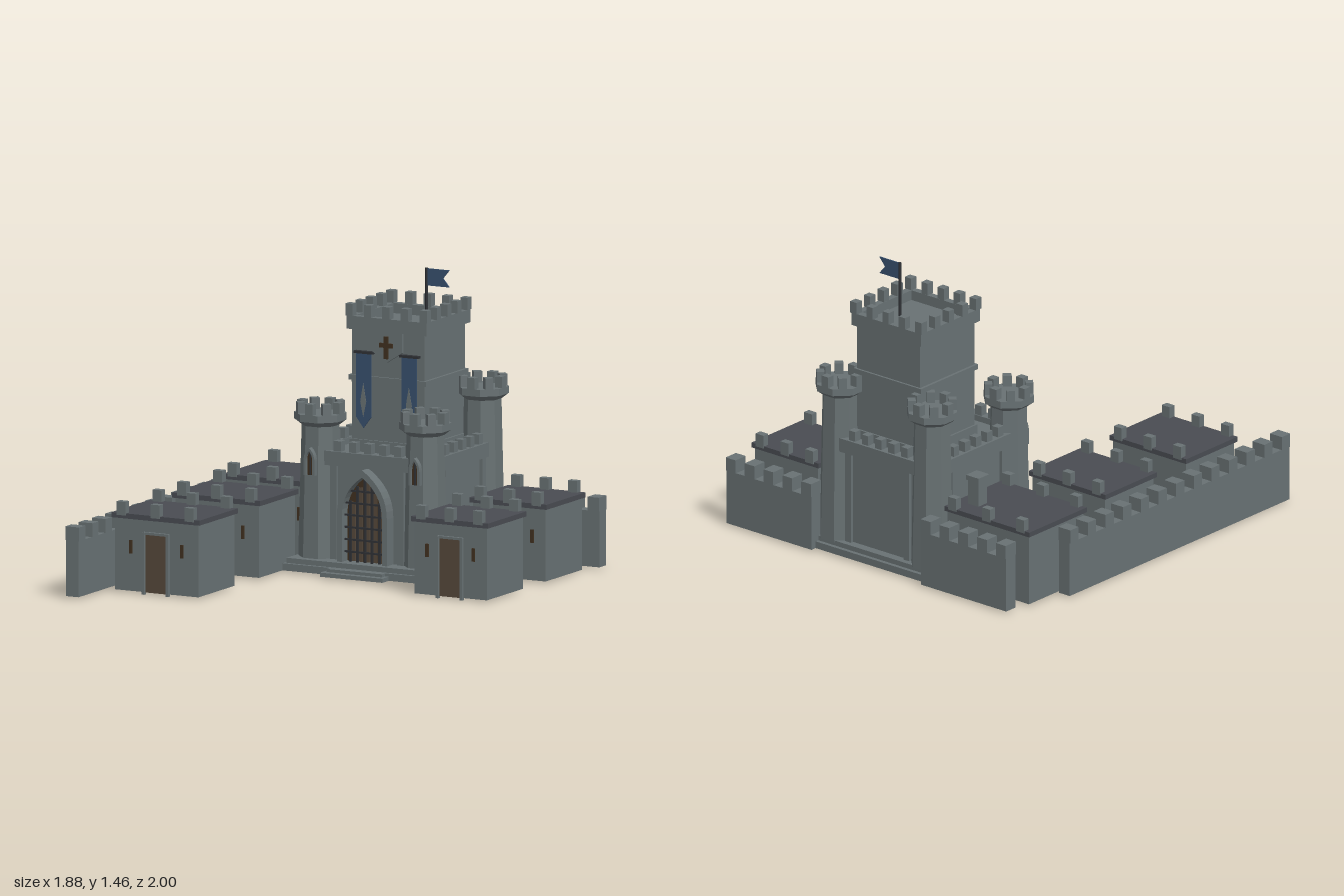
import * as THREE from 'three';

const mat = (name, color, extra = {}) => new THREE.MeshStandardMaterial({ name, color, flatShading: true, ...extra });

export function createModel() {
  const stone = mat('stone', 0x687173);
  const slate = mat('slate', 0x494c52);
  const wood = mat('wood', 0x55483a);
  const darkWood = mat('darkWood', 0x40301f);
  const iron = mat('iron', 0x2f3135);
  const cloth = mat('cloth', 0x38506e, { side: THREE.DoubleSide });

  const root = new THREE.Group();
  root.name = 'castle';
  const group = (name, x = 0, y = 0, z = 0, parent = root) => {
    const g = new THREE.Group();
    g.name = name;
    g.position.set(x, y, z);
    parent.add(g);
    return g;
  };
  const add = (parent, name, geo, material) => {
    const m = new THREE.Mesh(geo, material);
    m.name = name;
    parent.add(m);
    return m;
  };
  // Box given by its limits on each axis
  const box = (parent, name, x0, x1, y0, y1, z0, z1, material = stone) => {
    const m = add(parent, name, new THREE.BoxGeometry(x1 - x0, y1 - y0, z1 - z0), material);
    m.position.set((x0 + x1) / 2, (y0 + y1) / 2, (z0 + z1) / 2);
    return m;
  };
  const plate = (parent, name, shape, z, depth, material) => {
    const geo = new THREE.ExtrudeGeometry(shape, { depth, bevelEnabled: false, curveSegments: 8 });
    const m = add(parent, name, geo, material);
    m.position.z = z;
    return m;
  };
  const poly = (pts) => new THREE.Shape(pts.map(([x, y]) => new THREE.Vector2(x, y)));

  // Pointed arch outline; with an inner width it becomes an open-footed frame
  const arch = (w, base, spring, apex, inner) => {
    const s = new THREE.Shape();
    const lift = (a) => spring + (a - spring) * 0.62;
    s.moveTo(w, base);
    s.lineTo(w, spring);
    s.quadraticCurveTo(w, lift(apex), 0, apex);
    s.quadraticCurveTo(-w, lift(apex), -w, spring);
    s.lineTo(-w, base);
    if (inner) {
      const a = apex - (w - inner) * 1.3;
      s.lineTo(-inner, base);
      s.lineTo(-inner, spring);
      s.quadraticCurveTo(-inner, lift(a), 0, a);
      s.quadraticCurveTo(inner, lift(a), inner, spring);
      s.lineTo(inner, base);
    }
    return s;
  };

  // Plinth and entrance steps
  box(root, 'plinth', -0.372, 0.474, 0.01, 0.045, -0.965, -0.117);
  box(root, 'plinthTop', -0.35, 0.452, 0.045, 0.07, -0.945, -0.135);
  box(root, 'upperStep', -0.1, 0.205, 0.01, 0.045, -0.13, -0.085);
  box(root, 'lowerStep', -0.12, 0.225, 0.01, 0.03, -0.13, -0.053);

  // Gatehouse block with framed walls and a battlement on each side
  const gate = group('gatehouse', 0.05, 0, -0.565);
  box(gate, 'gatehouseWalls', -0.335, 0.335, 0.06, 0.57, -0.335, 0.335);
  for (let k = 0; k < 4; k++) {
    const side = group('wallSide', 0, 0, 0, gate);
    side.rotation.y = k * Math.PI / 2;
    for (const s of [-1, 1]) box(side, 'pilaster', s * 0.185 - 0.018, s * 0.185 + 0.018, 0.07, 0.54, 0.33, 0.352);
    box(side, 'parapet', -0.25, 0.25, 0.53, 0.6, 0.3, 0.357);
    for (let i = -2; i <= 2; i++) box(side, 'merlon', i * 0.083 - 0.02, i * 0.083 + 0.02, 0.6, 0.65, 0.305, 0.345);
  }

  // Arched entrance with plank door and portcullis
  const entry = group('entrance', 0.05, 0, 0);
  plate(entry, 'archFrame', arch(0.138, 0.07, 0.3, 0.53, 0.11), -0.232, 0.067, stone);
  plate(entry, 'archDoor', arch(0.118, 0.07, 0.3, 0.5), -0.229, 0.009, darkWood);
  for (let i = -2; i <= 2; i++) {
    const x = i * 0.04, top = 0.3 + 0.185 * (1 - Math.pow(Math.abs(x) / 0.11, 1.5));
    box(entry, 'plank', x - 0.016, x + 0.016, 0.07, top - 0.01, -0.222, -0.213, wood);
    box(entry, 'verticalBar', x - 0.005, x + 0.005, 0.07, top, -0.2, -0.19, iron);
  }
  for (let i = 0; i < 6; i++) {
    const w = i === 5 ? 0.085 : 0.112;
    box(entry, 'crossBar', -w, w, 0.115 + i * 0.06, 0.124 + i * 0.06, -0.198, -0.188, iron);
  }

  // Octagonal corner towers
  const octagon = (parent, name, rTop, rBottom, y0, y1) => {
    const k = 1 / Math.cos(Math.PI / 8);
    const geo = new THREE.CylinderGeometry(rTop * k, rBottom * k, y1 - y0, 8).rotateY(Math.PI / 8);
    add(parent, name, geo, stone).position.y = (y0 + y1) / 2;
  };
  for (const x of [-0.24, 0.34]) {
    for (const [z, top, front] of [[-0.275, 0.83, true], [-0.848, 0.92, false]]) {
      const t = group('cornerTower', x, 0, z);
      octagon(t, 'towerShaft', 0.084, 0.1, 0.06, top - 0.09);
      octagon(t, 'towerCorbel', 0.116, 0.086, top - 0.115, top - 0.09);
      octagon(t, 'towerRing', 0.118, 0.118, top - 0.09, top - 0.055);
      for (let i = 0; i < 8; i++) {
        const m = group('towerMerlon', 0, 0, 0, t);
        m.rotation.y = i * Math.PI / 4;
        box(m, 'merlon', -0.021, 0.021, top - 0.055, top, 0.08, 0.118);
      }
      if (front) {
        plate(t, 'windowFrame', arch(0.03, 0.48, 0.55, 0.615, 0.018), 0.08, 0.035, stone);
        plate(t, 'windowOpening', arch(0.02, 0.48, 0.55, 0.6), 0.091, 0.008, darkWood);
        box(t, 'windowBar', -0.004, 0.004, 0.48, 0.59, 0.096, 0.104, iron);
      }
    }
  }

  // Great tower with string course and battlemented crown
  const keep = group('greatTower', 0.053, 0, -0.625);
  box(keep, 'towerWalls', -0.2, 0.2, 0.55, 1.18, -0.203, 0.203);
  box(keep, 'towerFoot', -0.21, 0.21, 0.55, 0.63, -0.212, 0.212);
  box(keep, 'stringCourse', -0.214, 0.214, 0.92, 0.945, -0.214, 0.214);
  box(keep, 'crownFloor', -0.2, 0.2, 1.17, 1.185, -0.2, 0.2);
  for (let k = 0; k < 4; k++) {
    const side = group('crownSide', 0, 0, 0, keep);
    side.rotation.y = k * Math.PI / 2;
    box(side, 'crownWall', -0.22, 0.22, 1.17, 1.235, 0.185, 0.22);
    for (let i = -2; i < 2; i++) box(side, 'merlon', i * 0.102 - 0.02, i * 0.102 + 0.02, 1.235, 1.295, 0.186, 0.226);
  }

  // Shield panel with cross-shaped opening
  plate(keep, 'shieldPanel', poly([[-0.085, 1.17], [-0.085, 1.075], [0, 1.02], [0.085, 1.075], [0.085, 1.17]]), 0.2, 0.02, stone);
  box(keep, 'crossUpright', -0.011, 0.011, 1.04, 1.15, 0.216, 0.229, darkWood);
  box(keep, 'crossArm', -0.036, 0.036, 1.095, 1.117, 0.216, 0.229, darkWood);

  // Banners hanging from rods
  for (const s of [-1, 1]) {
    const b = group('banner', s * 0.126, 0, 0.217, keep);
    plate(b, 'bannerCloth', poly([[-0.042, 1.06], [-0.042, 0.745], [0, 0.69], [0.042, 0.745], [0.042, 1.06]]), 0, 0.006, cloth);
    plate(b, 'bannerEmblem', poly([[0, 0.91], [-0.016, 0.82], [0, 0.745], [0.016, 0.82]]), 0.005, 0.004, stone);
    box(b, 'bannerRod', -0.052, 0.052, 1.055, 1.067, -0.02, 0.01, iron);
  }

  // Flag on the crown
  const flag = group('flag', 0.15, 0, -0.63);
  add(flag, 'flagPole', new THREE.CylinderGeometry(0.007, 0.007, 0.28, 8), iron).position.y = 1.322;
  plate(flag, 'flagCloth', poly([[0, 1.375], [0.127, 1.375], [0.092, 1.417], [0.127, 1.459], [0, 1.459]]), -0.003, 0.006, cloth);

  // Flat-roofed houses: roof limits x0, x1, z0, z1
  const house = (x0, x1, z0, z1, doorX, winGap) => {
    const h = group('house');
    const f = z1 - 0.012;
    box(h, 'houseWalls', x0 + 0.012, x1 - 0.012, 0.01, 0.37, z0 + 0.012, f);
    box(h, 'houseRoof', x0, x1, 0.365, 0.39, z0, z1, slate);
    for (const x of [x0 + 0.055, (x0 + x1) / 2, x1 - 0.055]) {
      for (const z of [z0 + 0.013, z1 - 0.013]) box(h, 'merlon', x - 0.025, x + 0.025, 0.38, 0.447, z - 0.018, z + 0.018);
    }
    box(h, 'houseDoor', doorX - 0.06, doorX + 0.06, 0.01, 0.295, f - 0.002, f + 0.006, wood);
    box(h, 'doorLintel', doorX - 0.068, doorX + 0.068, 0.295, 0.307, f - 0.002, f + 0.015);
    for (const s of [-1, 1]) {
      const px = doorX + s * 0.066, wx = doorX + s * winGap;
      box(h, 'doorPost', px - 0.007, px + 0.007, 0, 0.305, f - 0.002, f + 0.017);
      box(h, 'windowSlit', wx - 0.008, wx + 0.008, 0.195, 0.26, f - 0.002, f + 0.007, darkWood);
    }
  };
  house(-0.87, -0.33, -0.865, -0.435, -0.595, 0.142);
  house(-0.835, -0.35, -0.255, 0.13, -0.593, 0.142);
  house(-0.835, -0.35, 0.35, 0.735, -0.593, 0.142);
  house(0.485, 0.91, -0.843, -0.455, 0.697, 0.128);
  house(0.485, 0.91, -0.255, 0.13, 0.697, 0.128);

  // Chimney on the largest house
  box(root, 'chimney', -0.465, -0.4, 0.38, 0.52, -0.768, -0.702);
  box(root, 'chimneyCap', -0.473, -0.393, 0.515, 0.54, -0.775, -0.695);

  // Curtain walls with merlons spaced along their length
  const curtain = (length, count, x, z, turned) => {
    const w = group('curtainWall', x, 0, z);
    if (turned) w.rotation.y = Math.PI / 2;
    box(w, 'wallBody', -length / 2, length / 2, 0.01, 0.285, -0.034, 0.034);
    for (let i = 0; i < count; i++) {
      const m = -length / 2 + 0.031 + (length - 0.062) * i / (count - 1);
      box(w, 'merlon', m - 0.031, m + 0.031, 0.285, 0.353, -0.038, 0.038);
    }
  };
  curtain(1.645, 13, -0.905, 0.178, true);
  curtain(0.54, 5, -0.565, -0.962, false);
  curtain(0.54, 5, 0.67, -0.962, false);

  return root;
}
